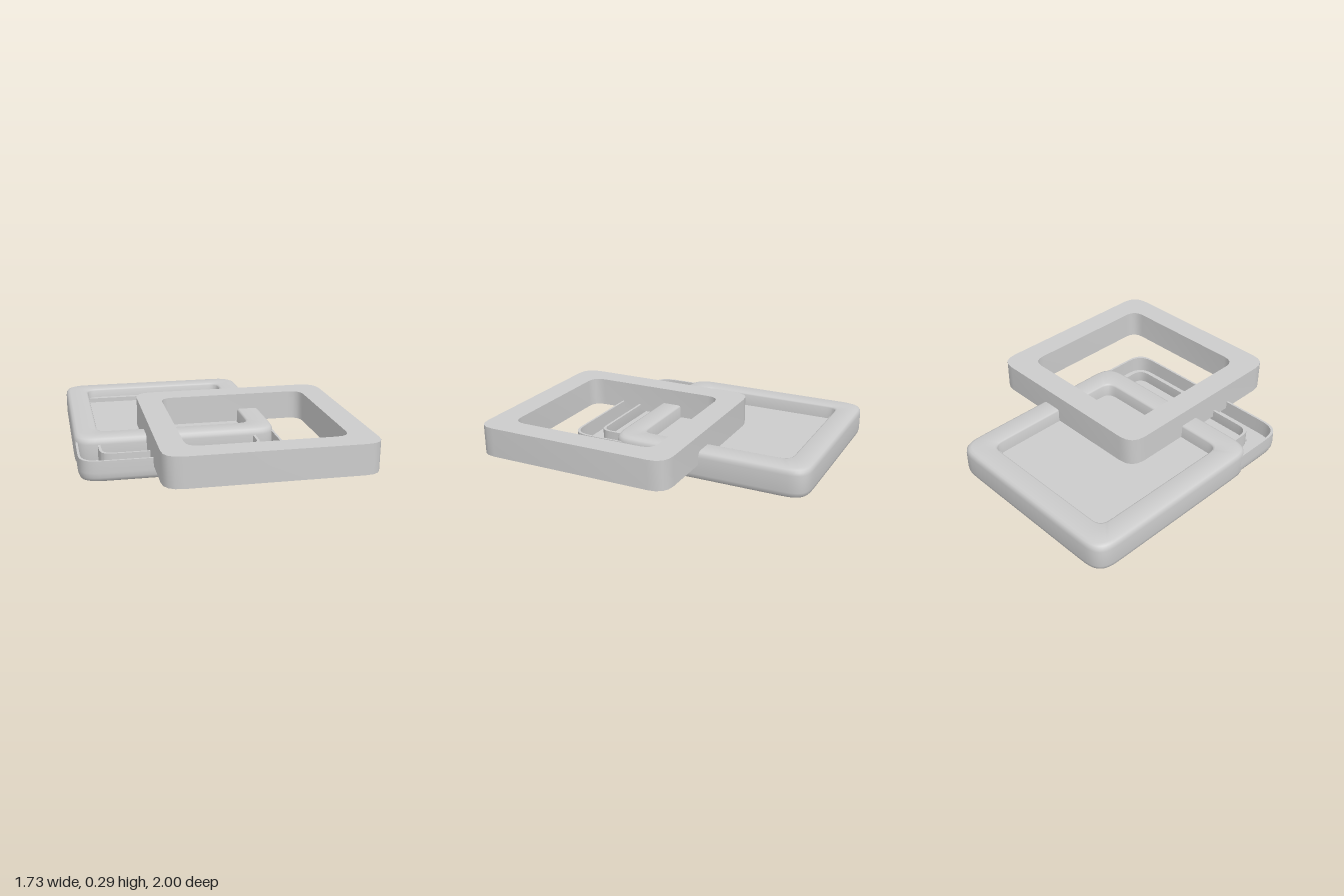
import * as THREE from 'three';
import { toCreasedNormals } from 'three/addons/utils/BufferGeometryUtils.js';

const grey = new THREE.MeshStandardMaterial({ color: 0xcccccc, side: THREE.DoubleSide });

// Soft-cornered rectangle in plan, inset by o; with backZ it is an open U ending there
function plan(w, d, o, backZ) {
  const pts = [], R = 0.18 - 0.5 * o, W = w - o, D = d - o;
  const open = backZ !== undefined;
  const soft = (v) => Math.abs(v) ** 0.56;
  if (open) pts.push([W, backZ]);
  for (let q = 0; q < (open ? 2 : 4); q++) {
    const sx = q === 0 || q === 3 ? 1 : -1, sz = q < 2 ? 1 : -1;
    for (let i = 0; i <= 10; i++) {
      const a = (q + i / 10) * Math.PI / 2;
      pts.push([sx * (W - R + R * soft(Math.cos(a))), sz * (D - R + R * soft(Math.sin(a)))]);
    }
  }
  pts.push(open ? [-W, backZ] : pts[0]);
  return pts;
}

// Sweeps a profile of [inset, height] points round the plan
function sweep(profile, w, d, backZ) {
  const pos = [], index = [], loops = profile.map(([o]) => plan(w, d, o, backZ));
  const n = loops[0].length;
  loops.forEach((loop, j) => loop.forEach(([x, z]) => pos.push(x, profile[j][1], z)));
  for (let j = 0; j < profile.length - 1; j++) {
    for (let i = 0; i < n - 1; i++) {
      const a = j * n + i, b = a + n;
      index.push(a, b, a + 1, b, b + 1, a + 1);
    }
  }
  const g = new THREE.BufferGeometry();
  g.setAttribute('position', new THREE.Float32BufferAttribute(pos, 3));
  g.setIndex(index);
  return toCreasedNormals(g, 0.8);
}

function roundedRect(path, w, d, r) {
  path.moveTo(w, -d + r);
  path.lineTo(w, d - r);
  path.quadraticCurveTo(w, d, w - r, d);
  path.lineTo(-w + r, d);
  path.quadraticCurveTo(-w, d, -w, d - r);
  path.lineTo(-w, -d + r);
  path.quadraticCurveTo(-w, -d, -w + r, -d);
  path.lineTo(w - r, -d);
  path.quadraticCurveTo(w, -d, w, -d + r);
  return path;
}

export function createModel() {
  const model = new THREE.Group();
  const add = (name, geometry, x, y, z) => {
    const mesh = new THREE.Mesh(geometry, grey);
    mesh.name = name;
    mesh.position.set(x, y, z);
    model.add(mesh);
  };
  const box = (x, y, z) => new THREE.BoxGeometry(x, y, z);

  // Flat-sided square frame lying on top
  const outline = roundedRect(new THREE.Shape(), 0.6425, 0.655, 0.115);
  outline.holes.push(roundedRect(new THREE.Path(), 0.4875, 0.495, 0.085));
  const frame = new THREE.ExtrudeGeometry(outline, { depth: 0.19, bevelEnabled: false, curveSegments: 4 });
  frame.rotateX(-Math.PI / 2);
  add('upperFrame', toCreasedNormals(frame, 0.6), 0.2225, 0.105, 0.345);

  // Soft-edged tray: rounded rim with a panel across its middle
  const rim = [
    [0.165, 0.065], [0.158, 0.04], [0.14, 0.018], [0.11, 0.005], [0.09, 0.001],
    [0.03, 0], [0.014, 0.006], [0.004, 0.018], [0, 0.04], [0, 0.15], [0.003, 0.17],
    [0.012, 0.183], [0.027, 0.19], [0.14, 0.19], [0.149, 0.186], [0.153, 0.178], [0.155, 0.095],
  ];
  add('trayRim', sweep(rim, 0.6425, 0.65), -0.2225, 0, -0.35);
  add('trayPanel', box(1.0, 0.04, 1.01), -0.2225, 0.08, -0.35);
  add('trayBackLedge', box(0.98, 0.03, 0.04), -0.2225, 0.115, -0.83);

  // Open channel sliding out from under the tray, thin walls on both sides
  const channel = [
    [0.152, 0.15], [0.152, 0.06], [0.145, 0.035], [0.12, 0.024], [0.03, 0.02], [0.01, 0.03],
    [0.002, 0.05], [0, 0.08], [0.002, 0.155], [0.016, 0.155], [0.016, 0.05],
    [0.136, 0.05], [0.136, 0.15], [0.152, 0.15],
  ];
  add('lowerChannel', sweep(channel, 0.6375, 0.505, 0.1), -0.2225, 0, 0.105);
  add('lowerPanel', box(0.98, 0.015, 0.25), -0.2225, 0.068, 0.335);

  return model;
}
